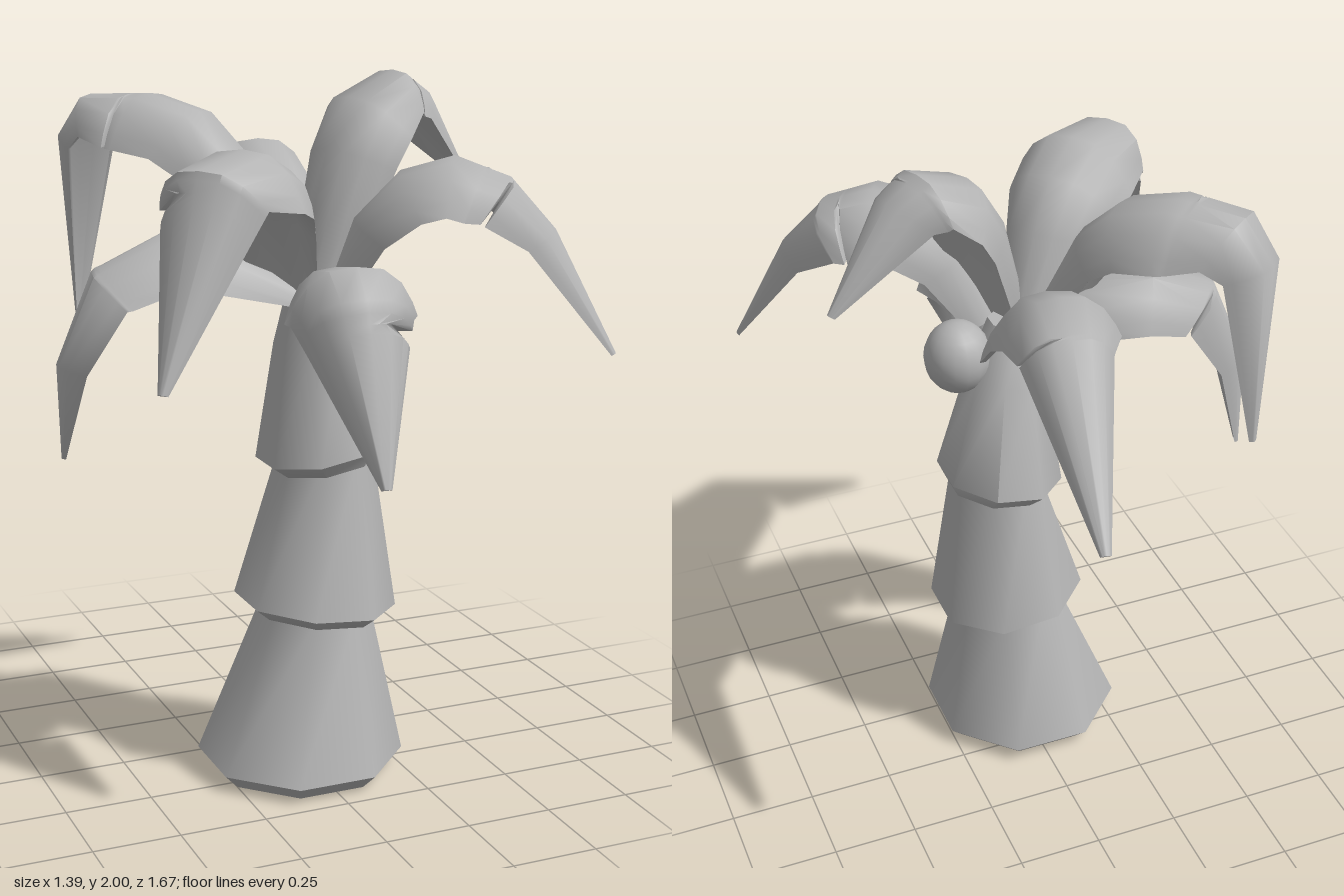
import * as THREE from 'three';
import { toCreasedNormals } from 'three/addons/utils/BufferGeometryUtils.js';

// Skin a closed solid over rings of points (clockwise when looking along the path).
function loft(rings, crease) {
  const n = rings[0].length, last = (rings.length - 1) * n, index = [];
  for (let r = 0; r < rings.length - 1; r++) {
    for (let i = 0; i < n; i++) {
      const a = r * n + i, b = r * n + (i + 1) % n;
      index.push(a, b, b + n, a, b + n, a + n);
    }
  }
  for (let i = 1; i < n - 1; i++) {
    index.push(0, i + 1, i, last, last + i, last + i + 1);
  }
  const geo = new THREE.BufferGeometry();
  geo.setAttribute('position', new THREE.Float32BufferAttribute(rings.flat().flatMap(p => p.toArray()), 3));
  geo.setIndex(index);
  return toCreasedNormals(geo, crease);
}

// Eight-sided trunk ring; tilt raises its +x side.
function trunkRing([x, y, z, r, tilt]) {
  return Array.from({ length: 8 }, (_, i) => {
    const a = (i + 0.5) * Math.PI / 4, c = Math.cos(a) * r * 1.08;
    return new THREE.Vector3(x + c * Math.cos(tilt), y + c * Math.sin(tilt), z - Math.sin(a) * r * 1.08);
  });
}

// Arched frond. path: [x, y, z, halfWidth] along the crest; notches: [side, position along path].
function frondGeometry(path, notches) {
  const pts = path.map(p => new THREE.Vector3(p[0], p[1], p[2]));
  const end = pts.length - 1;
  const dir = pts[end].clone().sub(pts[0]).setY(0).normalize();
  const side = new THREE.Vector3(-dir.z, 0, dir.x);

  // stations: position along path, plus remaining fraction of left and right width
  const stations = pts.map((_, i) => ({ u: i, l: 1, r: 1 }));
  for (const [s, u] of notches) {
    stations.push({ u: u - 0.06, l: 1, r: 1 });
    stations.push({ u, l: s < 0 ? 0.42 : 1, r: s > 0 ? 0.42 : 1 });
    stations.push({ u: u + 0.05, l: 1, r: 1 });
  }
  stations.sort((a, b) => a.u - b.u);

  const segment = k => {
    const i = THREE.MathUtils.clamp(k, 0, end - 1);
    return pts[i + 1].clone().sub(pts[i]).normalize();
  };
  const tangent = k => segment(k - 1).add(segment(k)).normalize();
  const rings = stations.map(({ u, l, r }) => {
    const k = Math.min(Math.floor(u), end - 1), f = u - k;
    const c = pts[k].clone().lerp(pts[k + 1], f);
    const w = THREE.MathUtils.lerp(path[k][3], path[k + 1][3], f);
    const t = tangent(k).lerp(tangent(k + 1), f);
    const up = side.clone().cross(t).normalize();
    const at = (j, drop) => {
      const q = j * (j < 0 ? l : r);
      return c.clone().addScaledVector(side, q * w)
        .addScaledVector(up, -w * (0.82 * Math.abs(q) ** 3 + drop));
    };
    return [
      at(-1, 0), at(-0.9, 0), at(-0.7, 0), at(-0.4, 0), at(0, 0), at(0.4, 0), at(0.7, 0), at(0.9, 0), at(1, 0),
      at(0.88, 0.25), at(0.5, 0.4), at(0, 0.42), at(-0.5, 0.4), at(-0.88, 0.25),
    ];
  });
  return loft(rings, 0.85);
}

export function createModel() {
  const model = new THREE.Group();
  const grey = new THREE.MeshStandardMaterial({ color: 0xb4b4b4 });
  grey.name = 'plain grey';
  const add = (name, geo) => {
    const mesh = new THREE.Mesh(geo, grey);
    mesh.name = name;
    model.add(mesh);
    return mesh;
  };

  // Trunk: three stacked flared segments, rings as [x, y, z, radius, tilt]
  const trunk = [
    [[-0.015, 0, 0.185, 0.235, 0], [-0.015, 0.045, 0.185, 0.277, 0], [0.035, 0.48, 0.175, 0.15, -0.05]],
    [[0.038, 0.465, 0.175, 0.175, -0.09], [0.035, 0.5, 0.175, 0.217, -0.09], [0.07, 0.95, 0.16, 0.125, 0.1]],
    [[0.07, 0.91, 0.165, 0.14, 0.17], [0.055, 0.95, 0.165, 0.174, 0.17], [0.025, 1.28, 0.18, 0.105, 0.17],
      [0.0, 1.43, 0.21, 0.06, 0.17]],
  ];
  trunk.forEach((rings, i) => add(`trunkSegment${i + 1}`, loft(rings.map(trunkRing), 0.82)));

  // Fronds around the crown
  const fronds = {
    backFrond: [[[0.01, 1.41, 0.18, 0.07], [0.03, 1.56, 0.02, 0.145], [0.03, 1.72, -0.14, 0.17],
      [0.045, 1.78, -0.28, 0.16], [0.085, 1.755, -0.45, 0.125], [0.15, 1.37, -0.835, 0.015]], [[1, 3.92]]],
    backRightFrond: [[[-0.04, 1.42, 0.19, 0.07], [-0.09, 1.6, 0.1, 0.11], [-0.15, 1.79, 0.03, 0.145],
      [-0.22, 1.89, -0.05, 0.165], [-0.33, 1.935, -0.17, 0.175], [-0.455, 1.925, -0.315, 0.145],
      [-0.51, 1.81, -0.385, 0.115], [-0.49, 1.27, -0.395, 0.015]], [[-1, 4.25]]],
    rightFrond: [[[0.0, 1.42, 0.22, 0.06], [-0.2, 1.55, 0.15, 0.15], [-0.39, 1.585, 0.11, 0.17],
      [-0.59, 1.49, 0.09, 0.15], [-0.69, 1.24, 0.075, 0.1], [-0.67, 0.96, 0.03, 0.015]], [[1, 2.95]]],
    frontRightFrond: [[[-0.03, 1.42, 0.22, 0.08], [-0.1, 1.66, 0.27, 0.14], [-0.18, 1.785, 0.345, 0.175],
      [-0.29, 1.845, 0.45, 0.185], [-0.46, 1.815, 0.585, 0.155], [-0.62, 1.3, 0.74, 0.015]], [[1, 4.1]]],
    frontFrond: [[[0.01, 1.4, 0.23, 0.07], [0.0, 1.51, 0.38, 0.15], [-0.015, 1.54, 0.55, 0.185],
      [-0.025, 1.47, 0.64, 0.17], [-0.05, 1.02, 0.83, 0.015]], [[-1, 3.13]]],
    frontLeftFrond: [[[0.02, 1.42, 0.28, 0.08], [0.08, 1.63, 0.325, 0.14], [0.19, 1.76, 0.38, 0.17],
      [0.32, 1.8, 0.44, 0.175], [0.45, 1.745, 0.52, 0.155], [0.55, 1.61, 0.59, 0.1],
      [0.69, 1.28, 0.69, 0.015]], [[-1, 3.6], [1, 4.05]]],
    leftFrond: [[[-0.03, 1.42, 0.24, 0.08], [0.0, 1.59, 0.215, 0.125], [0.06, 1.8, 0.185, 0.155],
      [0.14, 1.935, 0.15, 0.165], [0.3, 2.0, 0.095, 0.135], [0.39, 1.94, 0.08, 0.115],
      [0.58, 1.67, 0.03, 0.015]], [[1, 4.3]]],
  };
  for (const [name, [path, notches]] of Object.entries(fronds)) add(name, frondGeometry(path, notches));

  // Coconuts under the crown
  [[0.163, 1.35, 0.205], [0.04, 1.325, 0.37]].forEach((p, i) => {
    const nut = add(`coconut${i + 1}`, new THREE.SphereGeometry(0.098, 16, 12));
    nut.scale.y = 1.12;
    nut.position.set(...p);
  });

  return model;
}
